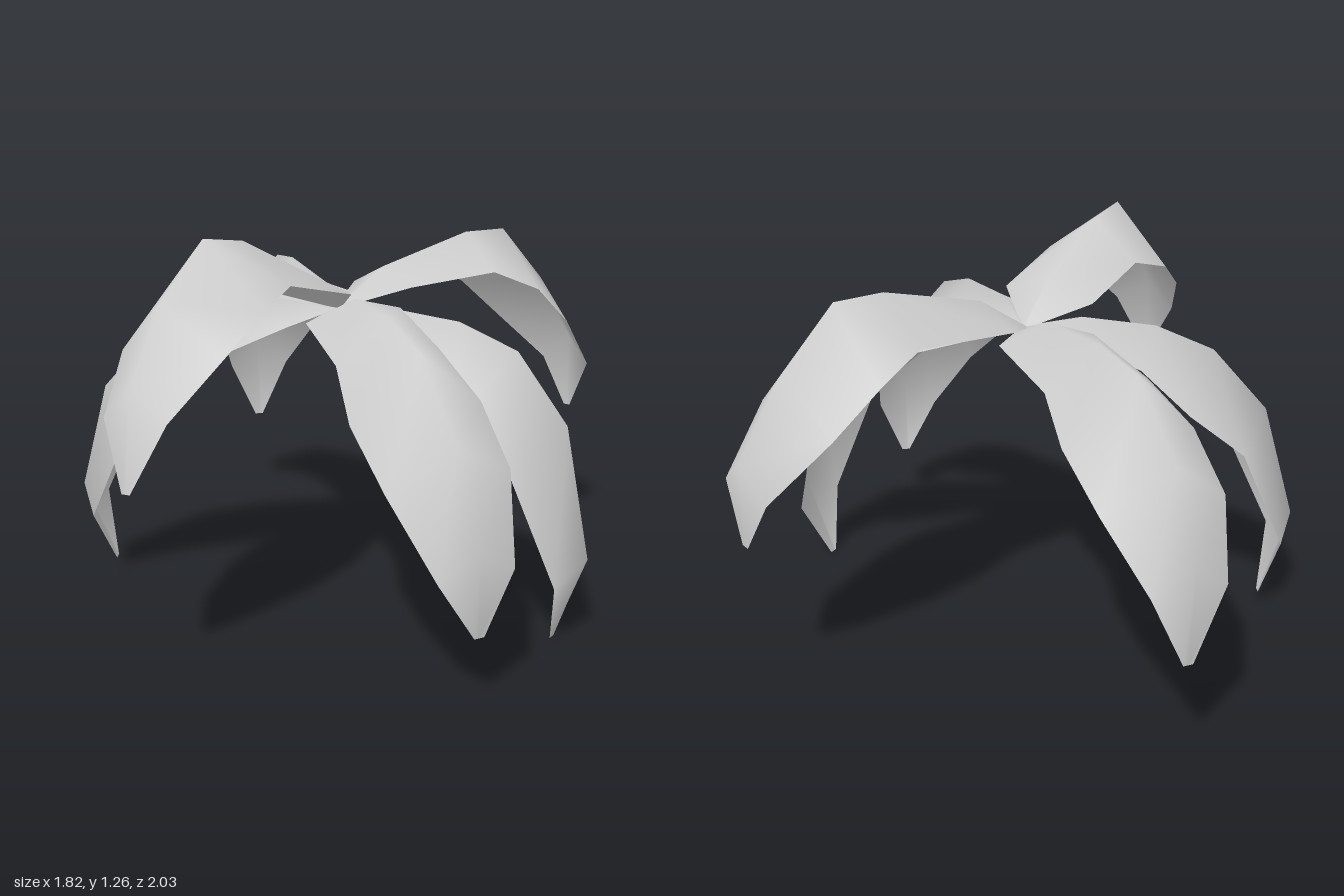
import * as THREE from 'three';

// Heading in degrees (0 = front, 90 = left), roll about the chord in degrees,
// and the ridge as [distance out, height]
const FRONDS = [
  { name: 'frontFrond', heading: 0, roll: 4, ridge: [[0, 0.97], [0.15, 1.1], [0.47, 1.24], [0.65, 1.265], [0.85, 1.11], [1.0, 0.9], [1.05, 0.62]] },
  { name: 'frontLeftFrond', heading: 56.5, roll: 7, ridge: [[0, 0.97], [0.18, 1.03], [0.48, 1.02], [0.7, 0.96], [0.92, 0.75], [1.03, 0.48], [0.98, 0.21]] },
  { name: 'leftFrond', heading: 90.5, roll: 0, ridge: [[0, 0.97], [0.18, 0.99], [0.45, 0.97], [0.65, 0.9], [0.82, 0.69], [0.905, 0.28], [0.8, 0]] },
  { name: 'backLeftFrond', heading: 155.5, roll: -4, ridge: [[0, 0.97], [0.19, 1.09], [0.55, 1.18], [0.72, 1.18], [0.9, 0.99], [1.04, 0.76], [1.03, 0.5]] },
  { name: 'backRightFrond', heading: 230, roll: 0, ridge: [[0, 0.97], [0.18, 1.03], [0.55, 1.06], [0.77, 1.04], [1.0, 0.86], [1.12, 0.63], [1.1, 0.33]] },
  { name: 'frontRightFrond', heading: 293, roll: -8, ridge: [[0, 0.97], [0.18, 1.0], [0.42, 0.97], [0.61, 0.89], [0.79, 0.69], [0.89, 0.33], [0.79, 0.05]] },
];

// Shared cross-sections: [half width, edge shift along the frond, edge drop]
const SECTIONS = [
  [0.015, 0, 0], [0.16, 0, 0.06], [0.165, 0, 0.13], [0.205, 0, 0.2],
  [0.19, -0.035, 0.145], [0.115, -0.01, 0.09], [0.015, 0, 0],
];
const ROOT_HEIGHT = 0.97;
const CHORD_REST = 0.32; // slope of the chord of an untilted frond, radians down

// Arched leaf folded along its ridge, running out along +z from its root
function frondGeometry(ridge, tilt) {
  const positions = [];
  const indices = [];
  ridge.forEach(([z, height], i) => {
    const y = height - ROOT_HEIGHT;
    const [w, shift, drop] = SECTIONS[i];
    // the fold leans with the tilt of the whole frond
    const edgeZ = z + shift * Math.cos(tilt) + drop * Math.sin(tilt);
    const edgeY = y + shift * Math.sin(tilt) - drop * Math.cos(tilt);
    positions.push(-w, edgeY, edgeZ, 0, y, z, w, edgeY, edgeZ);
  });
  for (let i = 0; i < ridge.length - 1; i++) {
    for (let j = 0; j < 2; j++) {
      const p = i * 3 + j;
      indices.push(p, p + 3, p + 1, p + 1, p + 3, p + 4);
    }
  }
  const geometry = new THREE.BufferGeometry();
  geometry.setAttribute('position', new THREE.Float32BufferAttribute(positions, 3));
  geometry.setIndex(indices);
  geometry.computeVertexNormals();
  return geometry;
}

export function createModel() {
  const model = new THREE.Group();
  model.name = 'palmCrown';
  const material = new THREE.MeshStandardMaterial({ color: 0xcccccc, side: THREE.DoubleSide });

  // Six fronds fan out from one point
  for (const { name, heading, roll, ridge } of FRONDS) {
    const [tipZ, tipY] = ridge[ridge.length - 1];
    const chord = new THREE.Vector3(0, tipY - ROOT_HEIGHT, tipZ).normalize();
    const tilt = Math.atan2(chord.y, chord.z) + CHORD_REST;
    const frond = new THREE.Mesh(frondGeometry(ridge, tilt), material);
    frond.name = name;
    frond.position.set(0, ROOT_HEIGHT, -0.05);
    frond.rotateY(THREE.MathUtils.degToRad(heading));
    frond.rotateOnAxis(chord, THREE.MathUtils.degToRad(roll));
    model.add(frond);
  }
  return model;
}
